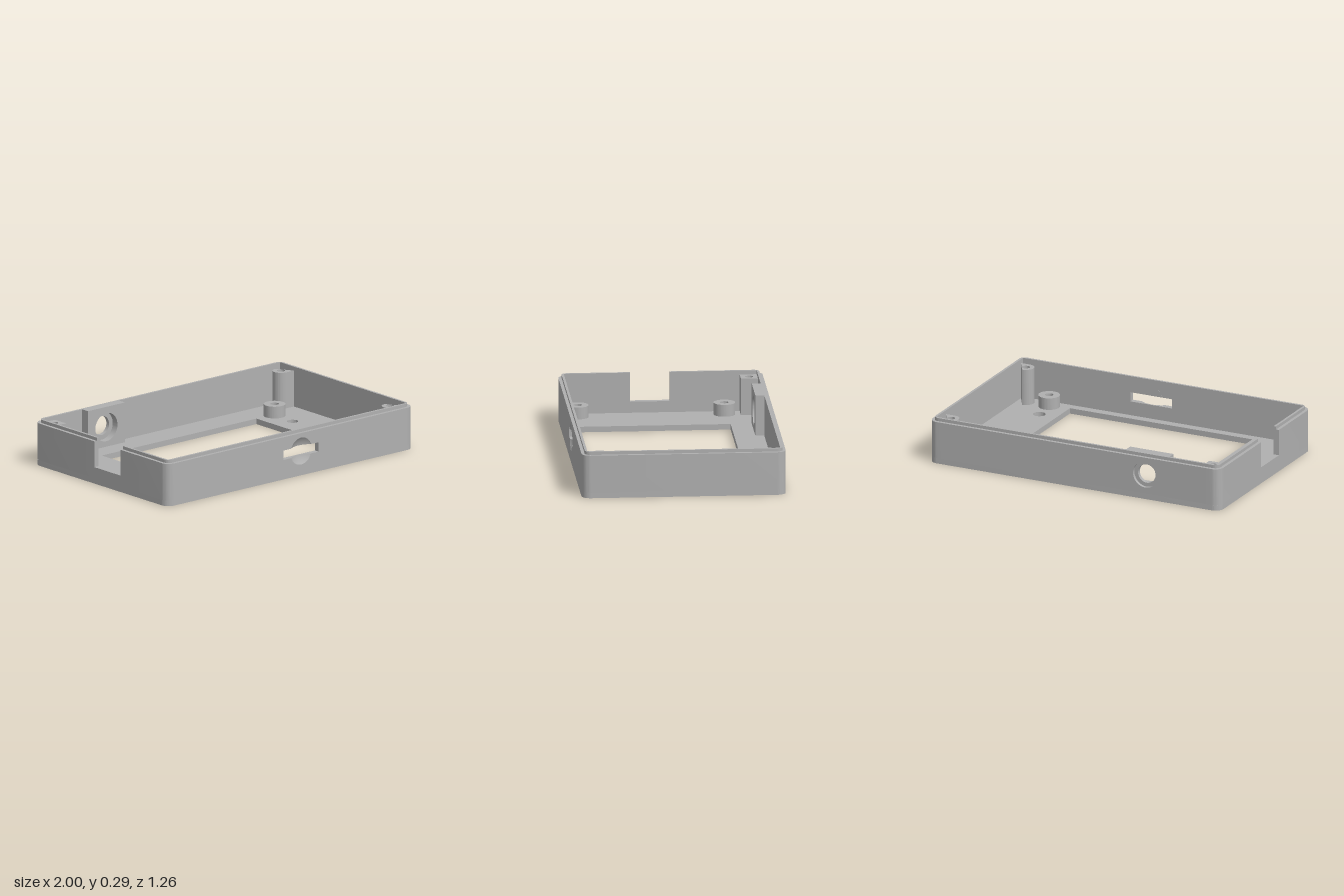
import * as THREE from 'three';
import { toCreasedNormals } from 'three/addons/utils/BufferGeometryUtils.js';

const X = 1, Z = 0.63;            // outer half sizes
const XI = 0.965, ZI = 0.595;     // inner wall faces
const R = 0.055;                  // outer corner radius
const FLOOR = 0.035, RIM = 0.27, TOP = 0.29, LIP = 0.02;
const END = 0.9;                  // where corner pieces meet the straight panels

export function createModel() {
  const group = new THREE.Group();
  const grey = new THREE.MeshStandardMaterial({ color: 0xb0b0b0 });
  grey.name = 'grey plastic';

  const add = (name, geo) => {
    const mesh = new THREE.Mesh(geo, grey);
    mesh.name = name;
    group.add(mesh);
    return mesh;
  };
  const extrude = (shape, depth) => toCreasedNormals(
    new THREE.ExtrudeGeometry(shape, { depth, bevelEnabled: false, curveSegments: 32 }), 0.6);
  // plan shapes are drawn as (x, -z) and raised from y0 to y1
  const raise = (name, shape, y0, y1) =>
    add(name, extrude(shape, y1 - y0).rotateX(-Math.PI / 2).translate(0, y0, 0));
  // wall shapes are drawn as (x, y) and run from z0 to z1
  const wall = (name, shape, z0, z1) => add(name, extrude(shape, z1 - z0).translate(0, 0, z0));
  const poly = (pts) => new THREE.Shape(pts.map(([x, y]) => new THREE.Vector2(x, y)));
  const rect = (x0, y0, x1, y1) => poly([[x0, y0], [x1, y0], [x1, y1], [x0, y1]]);
  const circle = (x, y, r) => new THREE.Path().absarc(x, y, r, 0, Math.PI * 2, true);
  const box = (name, x0, x1, y0, y1, z0, z1) => add(name,
    new THREE.BoxGeometry(x1 - x0, y1 - y0, z1 - z0)
      .translate((x0 + x1) / 2, (y0 + y1) / 2, (z0 + z1) / 2));

  // Floor with display window and two round holes
  const floor = new THREE.Shape();
  floor.absarc(X - R, Z - R, R, 0, Math.PI / 2);
  floor.absarc(R - X, Z - R, R, Math.PI / 2, Math.PI);
  floor.absarc(R - X, R - Z, R, Math.PI, Math.PI * 1.5);
  floor.absarc(X - R, R - Z, R, Math.PI * 1.5, Math.PI * 2);
  floor.holes.push(rect(-0.64, -0.54, 0.615, 0.41),
    circle(0.745, 0.22, 0.035), circle(0.735, -0.36, 0.039));
  raise('floor', floor, 0, FLOOR);

  // Rounded corners with the end walls; the left pair stops at the cable notch
  const cornerShape = (sx, sz, zEnd, inset) => {
    const xo = X - inset, zo = Z - inset, r = R - inset;
    const pts = [[END, zo]];
    for (let i = 0; i <= 10; i++) {
      const a = (Math.PI / 2) * (1 - i / 10);
      pts.push([xo - r + r * Math.cos(a), zo - r + r * Math.sin(a)]);
    }
    pts.push([xo, zEnd], [XI, zEnd], [XI, ZI], [END, ZI]);
    return poly(pts.map(([x, z]) => [x * sx, -z * sz]));
  };
  for (const [sx, sz, zEnd] of [[1, 1, 0], [1, -1, 0], [-1, 1, 0.185], [-1, -1, 0.06]]) {
    raise('endWall', cornerShape(sx, sz, zEnd, 0), FLOOR, RIM);
    raise('endLip', cornerShape(sx, sz, zEnd, LIP), RIM, TOP);
  }
  box('notchSill', -X, -XI, FLOOR, 0.105, -0.06, 0.185);
  box('frontLip', -END, END, RIM, TOP, ZI, Z - LIP);
  box('backLip', -END, END, RIM, TOP, LIP - Z, -ZI);

  // Front wall: card slot crossed by a round finger dish
  const cx = 0.084, cy = 0.155, w = 0.1425, h = 0.03, r = 0.086;
  const a = Math.asin(h / r), half = r * Math.cos(a);
  const slot = new THREE.Path();
  slot.moveTo(cx - w, cy - h);
  slot.lineTo(cx - half, cy - h);
  slot.absarc(cx, cy, r, Math.PI + a, 2 * Math.PI - a, false);
  slot.lineTo(cx + w, cy - h);
  slot.lineTo(cx + w, cy + h);
  slot.lineTo(cx + half, cy + h);
  slot.absarc(cx, cy, r, a, Math.PI - a, false);
  slot.lineTo(cx - w, cy + h);
  slot.closePath();
  const front = rect(-END, FLOOR, END, RIM);
  front.holes.push(slot);
  wall('frontWall', front, ZI, Z);

  // Dish: solid circle segments whose front is hollowed by a sphere
  const depth = 0.03, ball = (r * r + depth * depth) / (2 * depth);
  for (const turn of [0, Math.PI]) {
    const geo = new THREE.BoxGeometry(2, 1, 1, 24, 10, 1);
    const p = geo.attributes.position;
    for (let i = 0; i < p.count; i++) {
      const x = p.getX(i) * half;
      const y = h + (p.getY(i) + 0.5) * (Math.sqrt(r * r - x * x) - h);
      const sink = Math.sqrt(ball * ball - x * x - y * y) - (ball - depth);
      p.setXYZ(i, x, y, p.getZ(i) > 0 ? Z - Math.max(sink, 0) : ZI);
    }
    geo.rotateZ(turn).translate(cx, cy, 0);
    geo.computeVertexNormals();
    add('fingerDish', geo);
  }

  // Back wall and inner socket block, bored in steps
  const bored = (x0, x1, y1, radius) => {
    const s = rect(x0, FLOOR, x1, y1);
    s.holes.push(circle(-0.49, 0.16, radius));
    return s;
  };
  wall('backWallOuter', bored(-END, END, RIM, 0.085), -Z, -0.61);
  wall('backWallInner', bored(-END, END, RIM, 0.06), -0.61, -ZI);
  wall('socketBlockBase', bored(-0.64, -0.34, TOP, 0.06), -ZI, -0.585);
  wall('socketBlock', bored(-0.64, -0.34, TOP, 0.09), -0.585, -0.54);

  // Short round standoffs
  for (const x of [-0.89, 0.745]) for (const z of [-0.39, 0.515]) {
    const s = new THREE.Shape().absarc(x, -z, 0.067, 0, Math.PI * 2);
    s.holes.push(circle(x, -z, 0.026));
    raise('standoff', s, FLOOR, 0.11);
  }

  // Tall screw posts: two rounded on the right end, one square in the back corner
  for (const z of [-0.515, 0.515]) {
    const s = new THREE.Shape();
    s.moveTo(XI, -z + 0.052);
    s.absarc(0.905, -z, 0.052, Math.PI / 2, Math.PI * 1.5, false);
    s.lineTo(XI, -z - 0.052);
    s.holes.push(circle(0.905, -z, 0.025));
    raise('roundPost', s, FLOOR, 0.265);
  }
  const square = rect(-XI, 0.49, -0.86, ZI);
  square.holes.push(circle(-0.91, 0.545, 0.025));
  raise('squarePost', square, FLOOR, 0.265);

  return group;
}
